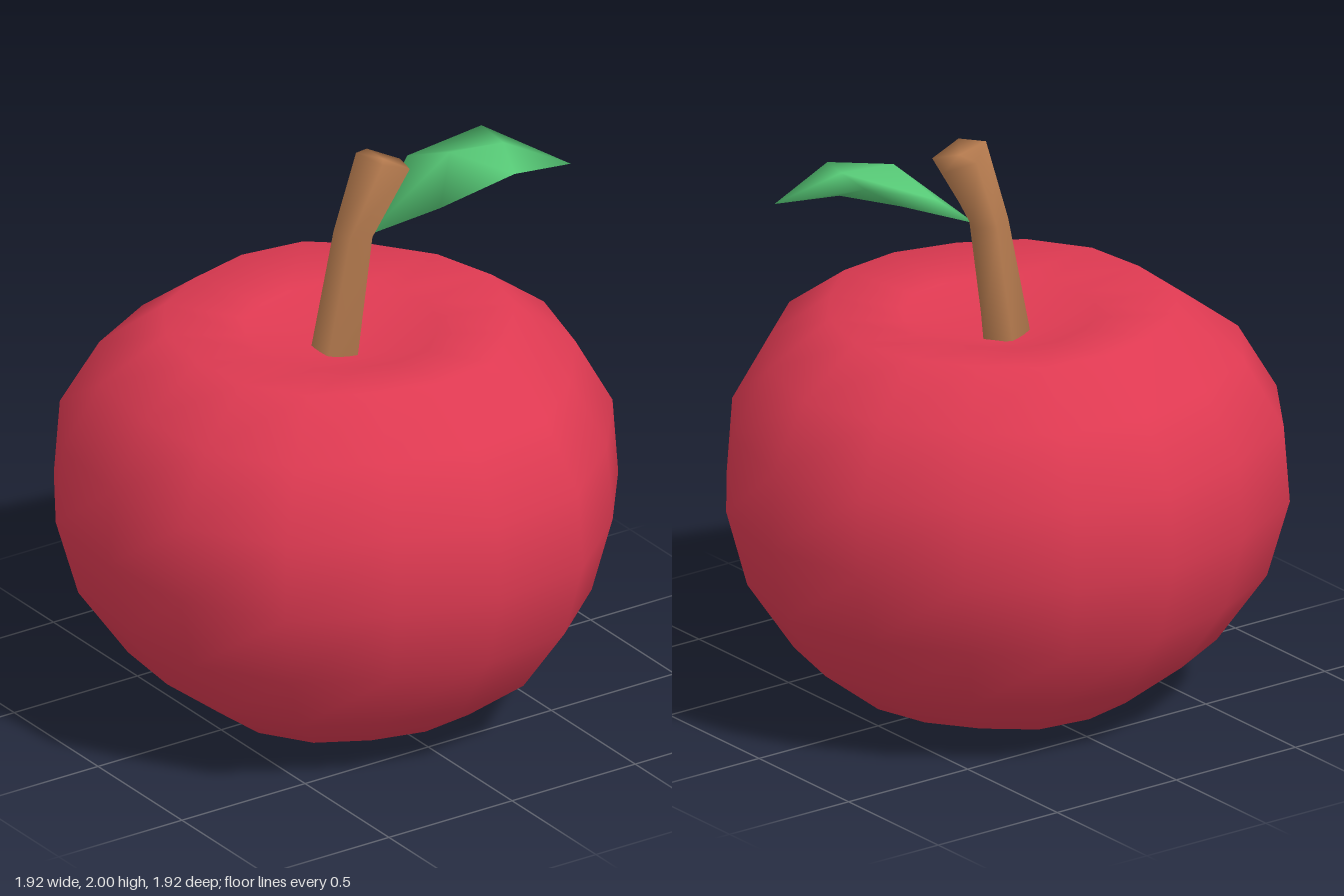
import * as THREE from 'three';

// Smooth closed skin over cross-sections; a section of one point closes an end.
function loft(name, sections, material) {
  const starts = [], positions = [], index = [];
  for (const s of sections) {
    starts.push(positions.length / 3);
    for (const p of s) positions.push(...p);
  }
  for (let i = 0; i < sections.length - 1; i++) {
    const lo = sections[i].length, hi = sections[i + 1].length;
    const n = Math.max(lo, hi);
    for (let j = 0; j < n; j++) {
      const k = (j + 1) % n;
      const a = starts[i] + (j % lo), b = starts[i] + (k % lo);
      const c = starts[i + 1] + (j % hi), d = starts[i + 1] + (k % hi);
      if (lo > 1) index.push(a, c, b);
      if (hi > 1) index.push(b, c, d);
    }
  }
  const geometry = new THREE.BufferGeometry();
  geometry.setAttribute('position', new THREE.Float32BufferAttribute(positions, 3));
  geometry.setIndex(index);
  geometry.computeVertexNormals();
  const mesh = new THREE.Mesh(geometry, material);
  mesh.name = name;
  return mesh;
}

function flatColor(name, color, options = {}) {
  return new THREE.MeshStandardMaterial({ name, color, ...options });
}

export function createModel() {
  const red = flatColor('red skin', 0xdf3a52);
  const brown = flatColor('brown bark', 0xbd8052);
  const green = flatColor('green leaf', 0x58cc78, { side: THREE.DoubleSide });
  const model = new THREE.Group();
  model.name = 'apple';

  // Fruit: a slightly uneven sixteen-sided outline, scaled along the profile
  const outline = [
    [0.96, 0], [0.86, 0.37], [0.64, 0.66], [0.35, 0.91],
    [-0.02, 0.96], [-0.38, 0.87], [-0.71, 0.69], [-0.92, 0.37],
    [-0.96, 0], [-0.92, -0.37], [-0.71, -0.69], [-0.38, -0.87],
    [-0.02, -0.96], [0.35, -0.91], [0.64, -0.67], [0.86, -0.37],
  ];
  const profile = [
    [0.26, 0.0], [0.5, 0.06], [0.72, 0.23], [0.885, 0.47], [0.96, 0.74],
    [0.94, 1.01], [0.81, 1.24], [0.595, 1.4], [0.33, 1.37],
  ];
  const rings = profile.map(([r, y]) =>
    outline.map(([x, z]) => [x * r / 0.96, y, z * r / 0.96]));
  model.add(loft('fruit', [[[0, 0.03, 0]], ...rings, [[0, 1.27, 0]]], red));

  // Stem: five-sided, leaning and twisting, with a tilted end
  const stemRing = (cx, cy, cz, r, twist, tilt) =>
    Array.from({ length: 5 }, (_, j) => {
      const a = j * Math.PI * 2 / 5 + twist;
      const dx = r * Math.cos(a);
      return [cx + dx, cy - tilt * dx, cz + r * Math.sin(a)];
    });
  model.add(loft('stem', [
    [[-0.03, 1.28, 0]],
    stemRing(-0.03, 1.29, 0, 0.088, 0, 0),
    stemRing(0.04, 1.71, 0, 0.07, -0.15, 0.1),
    stemRing(0.14, 1.965, 0.025, 0.095, -0.33, 0.4),
    [[0.14, 1.965, 0.025]],
  ], brown));

  // Leaf: each section runs ridge, back edge, keel, front edge
  model.add(loft('leaf', [
    [[0.07, 1.7, 0.03]],
    [[0.36, 1.96, 0.1], [0.32, 1.88, -0.095], [0.36, 1.82, 0.06], [0.22, 1.85, 0.25]],
    [[0.55, 1.96, 0.14], [0.57, 1.955, -0.02], [0.55, 1.875, 0.15], [0.48, 1.93, 0.31]],
    [[0.755, 1.865, 0.24]],
  ], green));

  return model;
}
